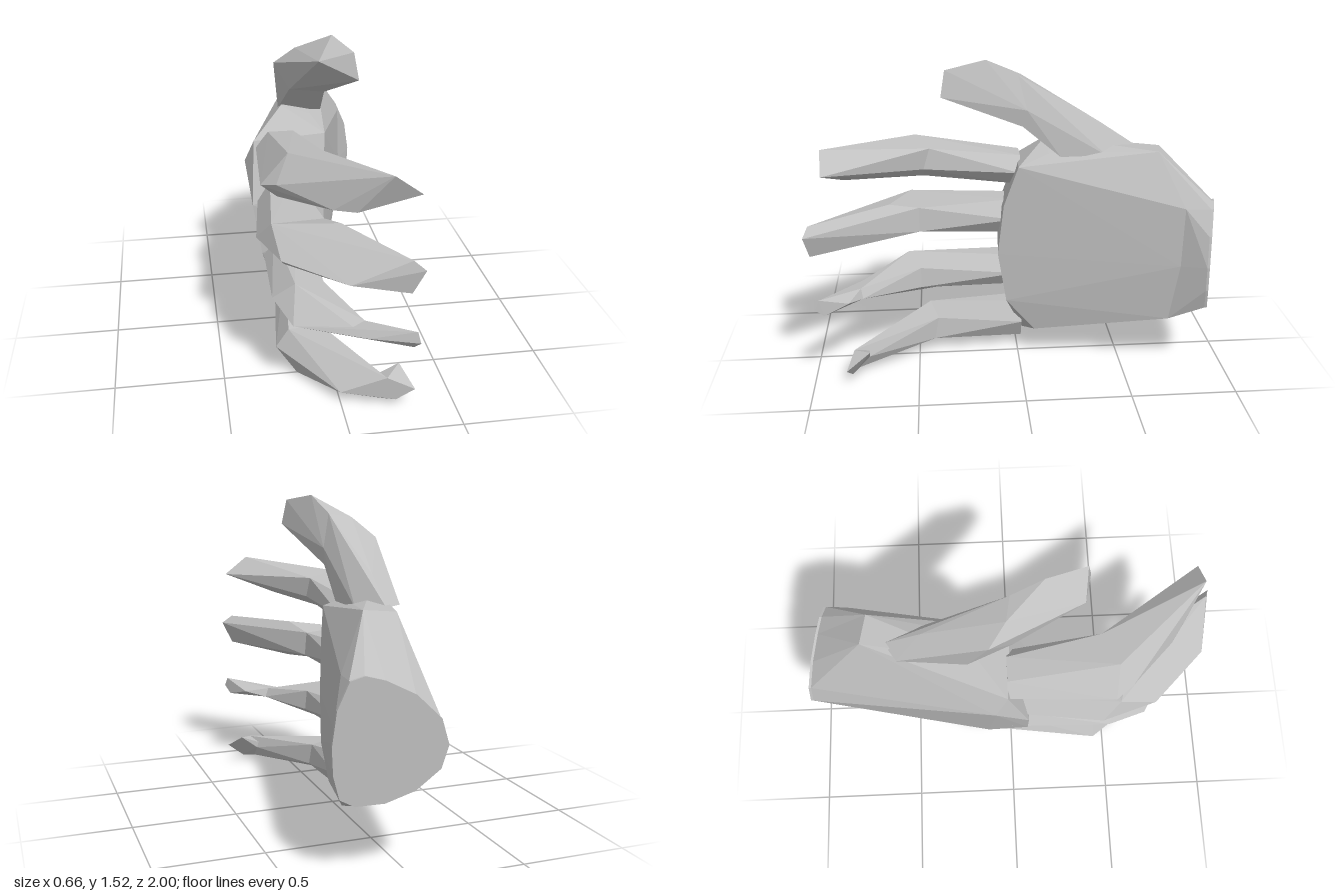
import * as THREE from 'three';
import { ConvexGeometry } from 'three/addons/geometries/ConvexGeometry.js';

const skin = new THREE.MeshStandardMaterial({ color: 0xc0c0c0 });
skin.name = 'plain grey';

// faceted solid stretched over a few corner points
function solid(name, points) {
  const mesh = new THREE.Mesh(new ConvexGeometry(points.map(p => new THREE.Vector3(...p))), skin);
  mesh.name = name;
  return mesh;
}

// a digit is a chain of faceted segments, each spanning two neighbouring cross-sections
function digit(name, ...sections) {
  const group = new THREE.Group();
  group.name = name;
  for (let i = 1; i < sections.length; i++) {
    group.add(solid(name + 'Segment' + i, [...sections[i - 1], ...sections[i]]));
  }
  return group;
}

// six-sided ring where a finger leaves the palm
function fingerRoot(x, y, halfX, halfY, z) {
  const ring = [];
  for (let i = 0; i < 6; i++) {
    const a = i * Math.PI / 3;
    ring.push([x + halfX * Math.cos(a), y + halfY * Math.sin(a), z]);
  }
  return ring;
}

// wrist outline as x, y; its plane slopes in z
const wrist = [
  [0.26, 0.84], [0.31, 0.72], [0.33, 0.57], [0.325, 0.45], [0.3, 0.35], [0.24, 0.32], [0.12, 0.33],
  [0, 0.38], [-0.1, 0.47], [-0.13, 0.57], [-0.1, 0.68], [0, 0.78], [0.12, 0.84], [0.2, 0.86],
];
const SLOPE = 0.26, PLATE = 0.012;
const wristZ = x => -1 + (x + 0.13) * SLOPE;

// end plate with four screw holes
function wristPlate() {
  const shape = new THREE.Shape(wrist.map(p => new THREE.Vector2(...p)));
  for (const x of [0.04, 0.175]) {
    for (const y of [0.507, 0.637]) {
      const hole = new THREE.Path();
      hole.absarc(x, y, 0.013, 0, Math.PI * 2, true);
      shape.holes.push(hole);
    }
  }
  const geo = new THREE.ExtrudeGeometry(shape, { depth: PLATE, bevelEnabled: false, curveSegments: 5 });
  // shear the plate onto the sloping wrist plane
  const pos = geo.attributes.position;
  for (let i = 0; i < pos.count; i++) pos.setZ(i, pos.getZ(i) + wristZ(pos.getX(i)));
  geo.computeVertexNormals();
  const mesh = new THREE.Mesh(geo, skin);
  mesh.name = 'wristPlate';
  return mesh;
}

export function createModel() {
  const hand = new THREE.Group();
  hand.name = 'hand';

  // heel of the hand, flaring from the palm crease to the inner half of the wrist
  const wristRing = wrist.map(([x, y]) => [x, y, wristZ(x) + PLATE]);
  const crease = [[0.11, 1.08, -0.66], [0.25, 0.84, -0.77], [0.255, 0.55, -0.76], [0.225, 0.26, -0.72]];
  hand.add(wristPlate());
  hand.add(solid('heel', [...wristRing.filter(p => p[0] > 0.11), ...crease]));

  // palm
  hand.add(solid('palm', [
    ...wristRing.filter(p => p[0] < 0.13), ...crease, [-0.03, 1.07, -0.69],
    // inner edge
    [0.05, 1.0, 0], [0.035, 0.8, 0.07], [0.03, 0.55, 0.1], [0.04, 0.3, 0.06], [0.05, 0.14, -0.08],
    // knuckle edge on the back
    [-0.29, 0.97, -0.02], [-0.33, 0.85, -0.08], [-0.31, 0.68, 0.08], [-0.27, 0.42, 0.08],
    [-0.2, 0.2, 0.02], [-0.18, 0.08, -0.12],
    // bottom and top corners
    [-0.15, 0.05, -0.2], [-0.1, 0.08, -0.03], [-0.14, 1.1, -0.15], [0, 1.05, -0.15],
  ]));

  // fingers
  hand.add(digit('indexFinger', fingerRoot(-0.16, 0.94, 0.12, 0.085, -0.02),
    [[-0.31, 0.96, 0.48], [-0.19, 1.105, 0.49], [-0.03, 1.08, 0.42], [-0.02, 0.98, 0.45],
      [-0.08, 0.93, 0.45], [-0.24, 0.91, 0.5]],
    [[-0.25, 0.99, 0.56], [0.18, 1.15, 0.91], [0.3, 1.06, 0.9], [0.22, 1.07, 0.8],
      [0.05, 0.96, 0.82], [-0.04, 0.95, 0.76]]));

  hand.add(digit('middleFinger', fingerRoot(-0.16, 0.7, 0.12, 0.1, 0.02),
    [[-0.33, 0.69, 0.44], [-0.27, 0.79, 0.52], [-0.03, 0.78, 0.48], [-0.02, 0.66, 0.48], [-0.22, 0.605, 0.55]],
    [[-0.25, 0.7, 0.7], [0.02, 0.82, 0.62], [0, 0.62, 0.71], [0, 0.7, 0.95], [0.25, 0.81, 0.98],
      [0.3, 0.77, 1.0], [0.25, 0.66, 0.98], [0.21, 0.74, 0.88]]));

  hand.add(digit('ringFinger', fingerRoot(-0.15, 0.41, 0.11, 0.09, 0.0),
    [[-0.27, 0.41, 0.5], [-0.17, 0.495, 0.54], [-0.03, 0.46, 0.48], [-0.02, 0.36, 0.48], [-0.17, 0.29, 0.4]],
    [[-0.2, 0.37, 0.69], [0.1, 0.42, 0.77], [0.12, 0.375, 0.76], [0.1, 0.39, 0.87]],
    [[0.29, 0.455, 0.95], [0.3, 0.41, 0.97], [0.28, 0.37, 0.93], [0.22, 0.4, 0.82]]));

  hand.add(digit('littleFinger', fingerRoot(-0.1, 0.155, 0.1, 0.11, -0.02),
    [[-0.25, 0.11, 0.44], [-0.19, 0.2, 0.44], [-0.03, 0.18, 0.4], [-0.02, 0.07, 0.42], [-0.16, 0, 0.5]],
    [[0.2, 0.14, 0.81], [0.18, 0.09, 0.74], [0.18, 0.03, 0.8], [0, 0.05, 0.76]],
    [[0.27, 0.16, 0.73], [0.32, 0.09, 0.84], [0.24, 0.03, 0.82]]));

  // thumb
  hand.add(digit('thumb',
    [[-0.12, 1.07, -0.52], [-0.03, 1.07, -0.58], [0.05, 1.05, -0.42], [-0.04, 1.19, -0.4],
      [-0.15, 1.07, -0.2], [0.06, 1.05, -0.2]],
    [[-0.18, 1.33, -0.1], [-0.09, 1.42, -0.02], [0.02, 1.44, 0], [0.06, 1.28, -0.04],
      [0.05, 1.2, -0.02], [-0.12, 1.23, 0.01]],
    [[0.055, 1.52, 0.15], [0.12, 1.49, 0.34], [0.14, 1.37, 0.36], [-0.03, 1.45, 0.32]]));

  return hand;
}
